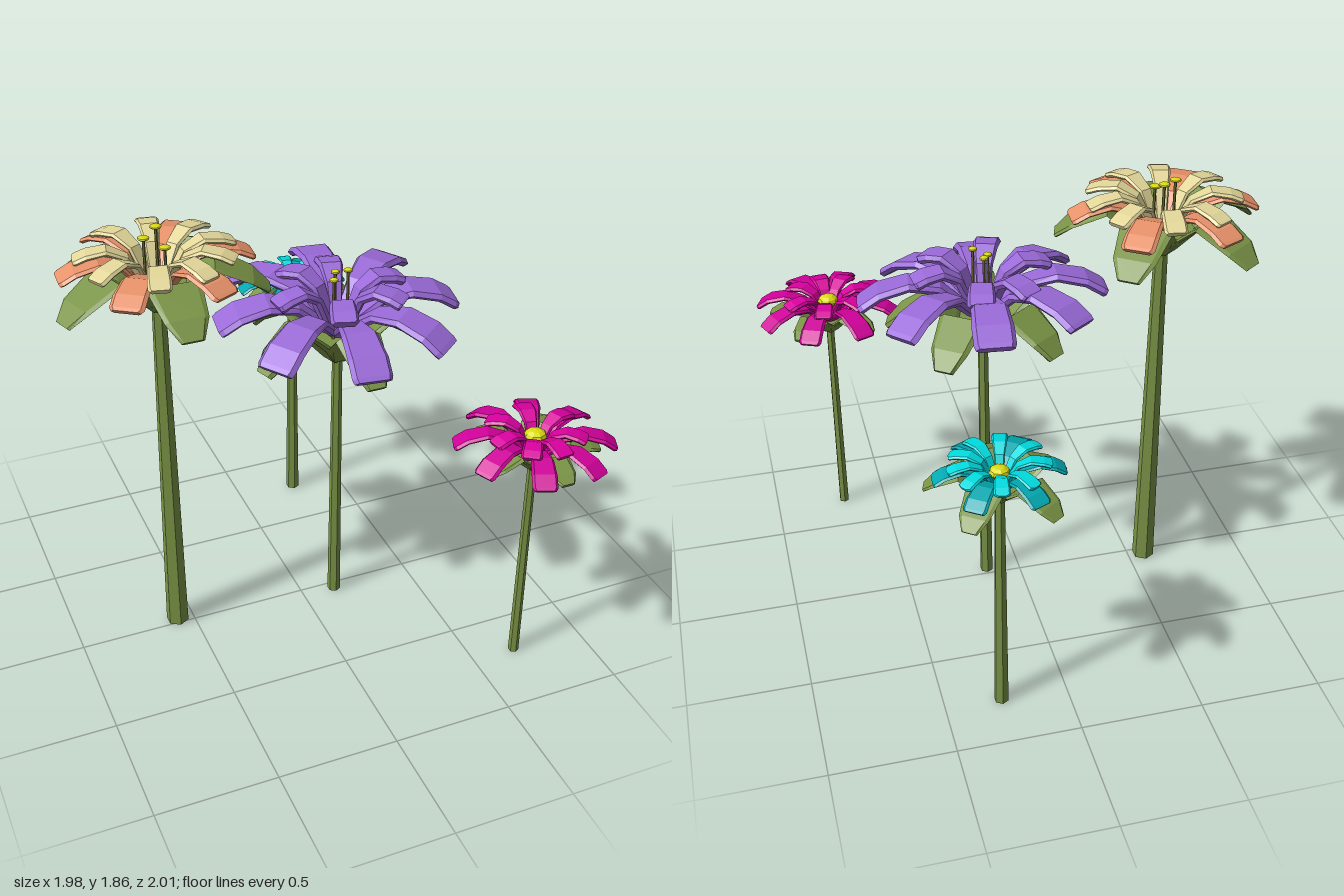
import * as THREE from 'three';

const mat = (color) => new THREE.MeshStandardMaterial({ color, flatShading: true });
const GREEN = mat(0x7a9446), YELLOW = mat(0xdcdc10), ROD = mat(0x77773c);

// Bevelled cross-section as [side, up] factors
const SECTION = [[-1, 0], [-0.8, 1], [0.8, 1], [1, 0], [0.8, -1], [-0.8, -1]];

// Solid blade running out along +x; spine points are [radius, height, halfWidth]
function bladeGeometry(spine, thickness) {
  const rings = spine.map(([r, y, w], i) => {
    const a = spine[Math.max(i - 1, 0)], b = spine[Math.min(i + 1, spine.length - 1)];
    const len = Math.hypot(b[0] - a[0], b[1] - a[1]);
    const nx = -(b[1] - a[1]) / len, ny = (b[0] - a[0]) / len;
    return SECTION.map(([s, u]) => [r + nx * u * thickness / 2, y + ny * u * thickness / 2, s * w]);
  });
  const out = [], n = SECTION.length;
  const tri = (a, b, c) => out.push(...a, ...b, ...c);
  for (let i = 0; i < rings.length - 1; i++) {
    for (let j = 0; j < n; j++) {
      const k = (j + 1) % n, p = rings[i], q = rings[i + 1];
      tri(p[j], p[k], q[j]);
      tri(p[k], q[k], q[j]);
    }
  }
  const first = rings[0], last = rings[rings.length - 1];
  for (let j = 1; j < n - 1; j++) {
    tri(last[0], last[j], last[j + 1]);
    tri(first[0], first[j + 1], first[j]);
  }
  const geo = new THREE.BufferGeometry();
  geo.setAttribute('position', new THREE.Float32BufferAttribute(out, 3));
  geo.computeVertexNormals();
  return geo;
}

// Petal: climbs out of the calyx, flattens, then droops at the tip
const petalSpine = ({ reach, base, peak, tip, width, tipWidth = 0.85 }) => [
  [0.1 * reach, base, 0.4 * width],
  [0.36 * reach, base + 0.8 * (peak - base), 0.65 * width],
  [0.6 * reach, peak, 0.9 * width],
  [0.84 * reach, peak + 0.35 * (tip - peak), width],
  [0.97 * reach, peak + 0.85 * (tip - peak), width],
  [reach, tip, tipWidth * width],
];

// Sepal: steep cup side, a bend at the rim, then a drooping tip
const sepalSpine = ({ reach, base, peak, tip, width }) => [
  [0.04 * reach, base, 0.3 * width],
  [0.1 * reach, base + 0.08 * (peak - base), 0.42 * width],
  [0.3 * reach, base + 0.58 * (peak - base), 0.95 * width],
  [0.52 * reach, peak, width],
  [0.85 * reach, peak + 0.55 * (tip - peak), 0.8 * width],
  [reach, tip, 0.42 * width],
];

// Ring of identical blades; angles in degrees from +x towards +z
function whorl(name, geometry, material, angles) {
  const group = new THREE.Group();
  group.name = name;
  for (const deg of angles) {
    const blade = new THREE.Mesh(geometry, material);
    blade.name = name.slice(0, -1);
    blade.rotation.y = -THREE.MathUtils.degToRad(deg);
    group.add(blade);
  }
  return group;
}

const evenly = (count, start) => Array.from({ length: count }, (_, i) => start + i * 360 / count);

function addMesh(parent, name, geometry, material, x, y, z) {
  const mesh = new THREE.Mesh(geometry, material);
  mesh.name = name;
  mesh.position.set(x, y, z);
  parent.add(mesh);
  return mesh;
}

function flower(f) {
  const g = new THREE.Group();
  g.name = f.name;
  g.position.set(f.x, 0, f.z);
  const [rTop, rBottom] = f.stem, base = f.sepal.base;
  addMesh(g, 'stem', new THREE.CylinderGeometry(rTop, rBottom, base + 0.02, 6), GREEN, 0, (base + 0.02) / 2, 0);

  // Solid cup filling the gaps between the sepals
  const cupH = 0.55 * (f.sepal.peak - base);
  addMesh(g, 'calyxCup', new THREE.CylinderGeometry(0.3 * f.sepal.reach, rTop, cupH, 10), GREEN, 0, base + cupH / 2, 0);
  g.add(whorl('sepals', bladeGeometry(sepalSpine(f.sepal), f.thick * 0.8), GREEN, evenly(5, 90)));

  // Two layers of petals; the outer one may lean
  const outer = whorl('outerPetals', bladeGeometry(petalSpine(f.outer), f.thick), mat(f.outer.color), f.outer.angles);
  const lean = f.lean || 0;
  outer.rotation.x = lean;
  outer.position.set(0, f.outer.peak * (1 - Math.cos(lean)), -f.outer.peak * Math.sin(lean));
  g.add(outer);
  g.add(whorl('innerPetals', bladeGeometry(petalSpine(f.inner), f.thick), mat(f.inner.color), f.inner.angles));

  // Stamens on thin rods, or a single rounded centre
  for (const [x, y, z] of f.stamens || []) {
    const bottom = base + 0.08, h = y - bottom;
    addMesh(g, 'stamenRod', new THREE.CylinderGeometry(0.006, 0.006, h, 6), ROD, x, bottom + h / 2, z);
    const head = addMesh(g, 'stamenHead', new THREE.SphereGeometry(f.headSize, 8, 6), YELLOW, x, y, z);
    head.scale.y = f.headFlat;
  }
  if (f.centre) {
    const [r, y] = f.centre;
    addMesh(g, 'flowerCentre', new THREE.SphereGeometry(r, 8, 6), YELLOW, 0, y, 0).scale.y = 0.6;
  }
  return g;
}

export function createModel() {
  const nine = [152, 192, 240, 280, 324, 0, 32, 66, 104];
  const model = new THREE.Group();
  model.name = 'flowers';
  const flowers = [
    {
      name: 'orangeFlower', x: -0.57, z: -0.03, stem: [0.028, 0.048], thick: 0.02,
      sepal: { reach: 0.42, base: 1.54, peak: 1.735, tip: 1.61, width: 0.105 },
      outer: { reach: 0.37, base: 1.62, peak: 1.765, tip: 1.715, width: 0.066, color: 0xe8926a, angles: evenly(6, 4) },
      inner: { reach: 0.305, base: 1.62, peak: 1.797, tip: 1.765, width: 0.045, color: 0xe3d799, angles: nine },
      stamens: [[-0.045, 1.84, 0.005], [0.02, 1.852, -0.05], [0.025, 1.805, 0.04]], headSize: 0.024, headFlat: 0.3,
    },
    {
      name: 'purpleFlower', x: 0.145, z: 0.035, stem: [0.021, 0.028], thick: 0.034, lean: 0.09,
      sepal: { reach: 0.38, base: 1.2, peak: 1.39, tip: 1.26, width: 0.095 },
      outer: { reach: 0.485, base: 1.34, peak: 1.48, tip: 1.4, width: 0.08, tipWidth: 0.92, color: 0x9a6ad8, angles: evenly(8, 7) },
      inner: { reach: 0.275, base: 1.32, peak: 1.53, tip: 1.5, width: 0.055, color: 0x9a6ad8, angles: [357, 45, 108, 174, 238, 283] },
      stamens: [[-0.005, 1.575, -0.02], [-0.03, 1.565, 0.025], [0.03, 1.597, 0.025]], headSize: 0.019, headFlat: 0.45,
    },
    {
      name: 'cyanFlower', x: 0.27, z: -0.77, stem: [0.02, 0.03], thick: 0.014,
      sepal: { reach: 0.275, base: 1.01, peak: 1.13, tip: 1.05, width: 0.07 },
      outer: { reach: 0.24, base: 1.06, peak: 1.155, tip: 1.115, width: 0.045, color: 0x00a8b0, angles: evenly(6, 5) },
      inner: { reach: 0.19, base: 1.07, peak: 1.177, tip: 1.16, width: 0.03, tipWidth: 0.5, color: 0x00dce0, angles: nine },
      centre: [0.04, 1.13],
    },
    {
      name: 'magentaFlower', x: 0.69, z: 0.7, stem: [0.018, 0.022], thick: 0.02,
      sepal: { reach: 0.255, base: 0.945, peak: 1.06, tip: 1.02, width: 0.068 },
      outer: { reach: 0.31, base: 1.01, peak: 1.1, tip: 1.045, width: 0.048, color: 0xd0009a, angles: evenly(8, 22.5) },
      inner: { reach: 0.195, base: 1.02, peak: 1.125, tip: 1.105, width: 0.04, color: 0xd8009e, angles: [283, 340, 40, 85, 125, 172, 226] },
      centre: [0.045, 1.09],
    },
  ];
  for (const f of flowers) model.add(flower(f));
  return model;
}
